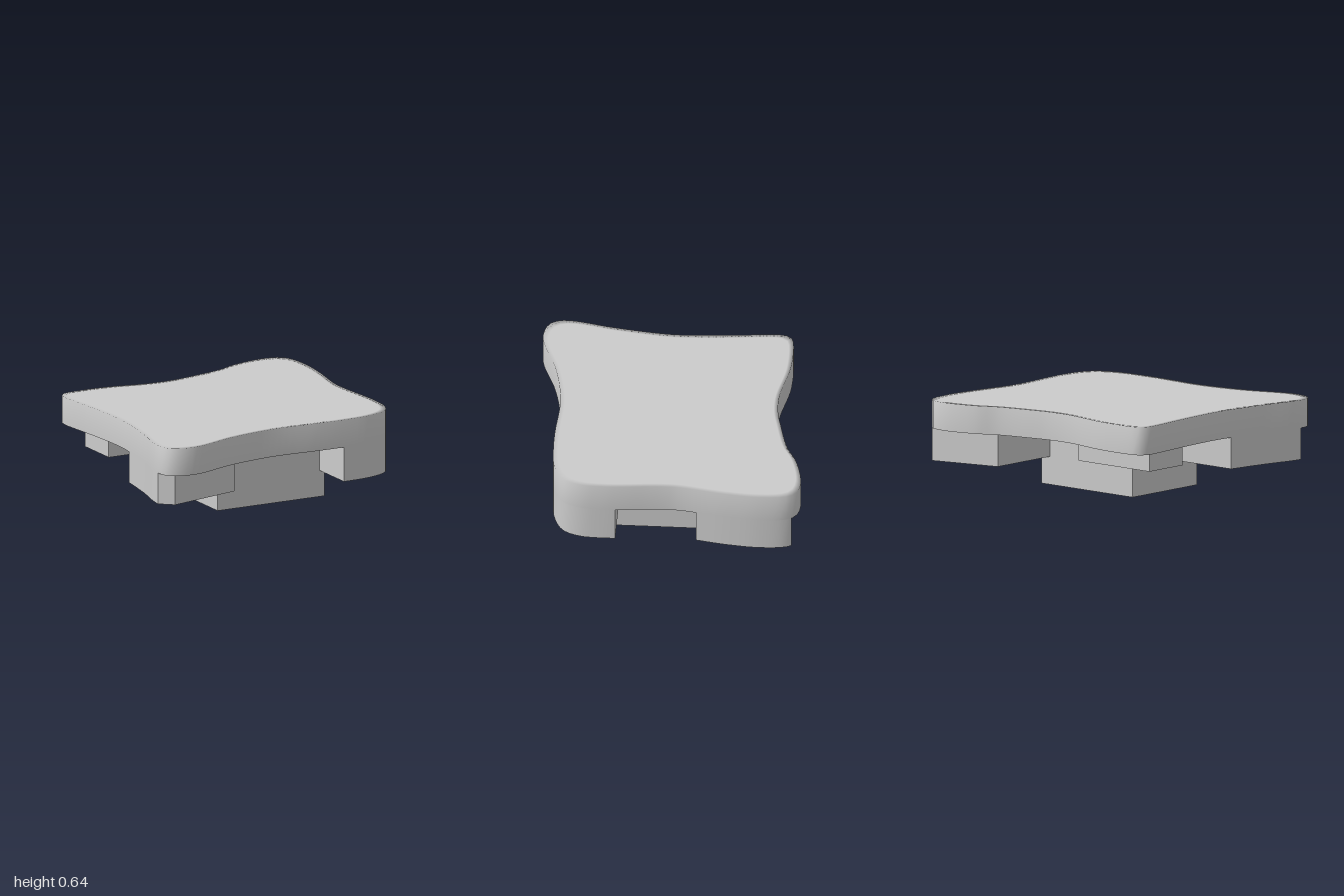
import * as THREE from 'three';
import { toCreasedNormals } from 'three/addons/utils/BufferGeometryUtils.js';

// Wavy plate outline as x, z pairs, clockwise seen from above
const OUTLINE = [
  -0.93, -0.7, -0.92, -0.75, -0.89, -0.79, -0.83, -0.805, -0.55, -0.805, -0.2, -0.745,
  0, -0.75, 0.13, -0.775, 0.4, -0.84, 0.55, -0.91, 0.77, -0.96, 0.88, -0.955,
  0.94, -0.93, 0.98, -0.87, 1, -0.68, 0.98, -0.45, 0.92, -0.1, 0.92, 0.05,
  0.94, 0.3, 0.945, 0.43, 0.93, 0.6, 0.87, 0.715, 0.72, 0.785, 0.5, 0.805,
  0.3, 0.805, 0, 0.79, -0.2, 0.805, -0.45, 0.855, -0.77, 0.96, -0.9, 0.95,
  -0.97, 0.91, -1, 0.84, -0.995, 0.73, -0.94, 0.48, -0.885, 0.08, -0.885, -0.1,
  -0.905, -0.4, -0.925, -0.6,
];
const UNDERSIDE = 0.44, TOP = 0.64;

function outlinePoints(count) {
  const pts = [];
  for (let i = 0; i < OUTLINE.length; i += 2) pts.push(new THREE.Vector3(OUTLINE[i], 0, OUTLINE[i + 1]));
  const curve = new THREE.CatmullRomCurve3(pts, true, 'centripetal');
  return curve.getSpacedPoints(count).slice(0, count).map((p) => [p.x, p.z]);
}

// Keep the part of a polygon where a * x + b * z <= c
function clip(poly, [a, b, c]) {
  const out = [];
  const dist = (p) => a * p[0] + b * p[1] - c;
  poly.forEach((p, i) => {
    const q = poly[(i + 1) % poly.length];
    const dp = dist(p), dq = dist(q);
    if (dp <= 0) out.push(p);
    if (dp * dq < 0) {
      const t = dp / (dp - dq);
      out.push([p[0] + (q[0] - p[0]) * t, p[1] + (q[1] - p[1]) * t]);
    }
  });
  return out;
}

// Shrink a polygon slightly about the middle of its bounds
function shrink(poly, s) {
  const box = new THREE.Box2().setFromPoints(poly.map(([x, z]) => new THREE.Vector2(x, z)));
  const mid = box.getCenter(new THREE.Vector2());
  return poly.map(([x, z]) => [mid.x + (x - mid.x) * s, mid.y + (z - mid.y) * s]);
}

// Join closed cross-sections from top to bottom; each is { pts, y, scale }
function loft(rings) {
  const n = rings[0].pts.length;
  const pos = [], index = [];
  for (const { pts, y, scale = 1 } of rings) {
    for (const [x, z] of pts) pos.push(x * scale, y, z * scale);
  }
  for (let r = 0; r < rings.length - 1; r++) {
    for (let i = 0; i < n; i++) {
      const j = (i + 1) % n;
      const a = r * n + i, b = r * n + j, c = a + n, d = b + n;
      index.push(a, b, d, a, d, c);
    }
  }
  const geo = new THREE.BufferGeometry();
  geo.setAttribute('position', new THREE.Float32BufferAttribute(pos, 3));
  geo.setIndex(index);
  geo.computeVertexNormals();
  return geo;
}

export function createModel() {
  const group = new THREE.Group();
  const material = new THREE.MeshStandardMaterial({ color: 0xcccccc, side: THREE.DoubleSide });
  const add = (name, geo) => {
    const mesh = new THREE.Mesh(geo, material);
    mesh.name = name;
    group.add(mesh);
  };
  const outline = outlinePoints(140);

  // Wavy plate shell: top and sides, softly shaded at the rim
  add('plate', loft([
    { pts: outline, y: TOP, scale: 0.001 },
    { pts: outline, y: TOP, scale: 0.96 },
    { pts: outline, y: TOP },
    { pts: outline, y: UNDERSIDE },
  ]));

  // Hollow, open-bottomed walls under the plate; each opens into the shell
  const toPath = (pts) => pts.map(([x, z]) => new THREE.Vector2(x, z));
  const underside = new THREE.Shape(toPath(outline));
  const walls = (name, pts, bottom, opening = pts) => {
    add(name, toCreasedNormals(loft([{ pts, y: UNDERSIDE }, { pts, y: bottom }]), 0.6));
    underside.holes.push(new THREE.Path(toPath(shrink(opening, 0.97))));
  };
  const rect = (x0, x1, z0, z1) => [[x0, z0], [x1, z0], [x1, z1], [x0, z1]];

  walls('centerBlock', rect(-0.33, 0.53, -0.23, 0.45), 0);
  walls('backRightFoot', rect(-0.82, -0.15, -0.6, -0.25), 0.29);

  // Corner feet follow the plate outline, cut by straight sides
  const backLeft = [[-1, 0, -0.45], [0, 1, -0.23], [-0.24, -1, 0.675]].reduce(clip, outline);
  const frontRight = [[1, 0, -0.36], [0, -1, -0.18], [0.24, 1, 0.662], [-0.665, 0.747, 1.262]].reduce(clip, outline);
  const frontLeft = [[-1, 0, -0.49], [0, -1, -0.34]].reduce(clip, outline);
  walls('backLeftFoot', backLeft, 0.2);
  walls('frontRightFoot', frontRight, 0.215);
  // This opening stops short of the centre block's corner
  walls('frontLeftFoot', frontLeft, 0.19, clip(frontLeft, [-1, -1, -1.01]));

  // Underside between the feet
  add('underside', new THREE.ShapeGeometry(underside).rotateX(Math.PI / 2).translate(0, UNDERSIDE, 0));

  return group;
}
